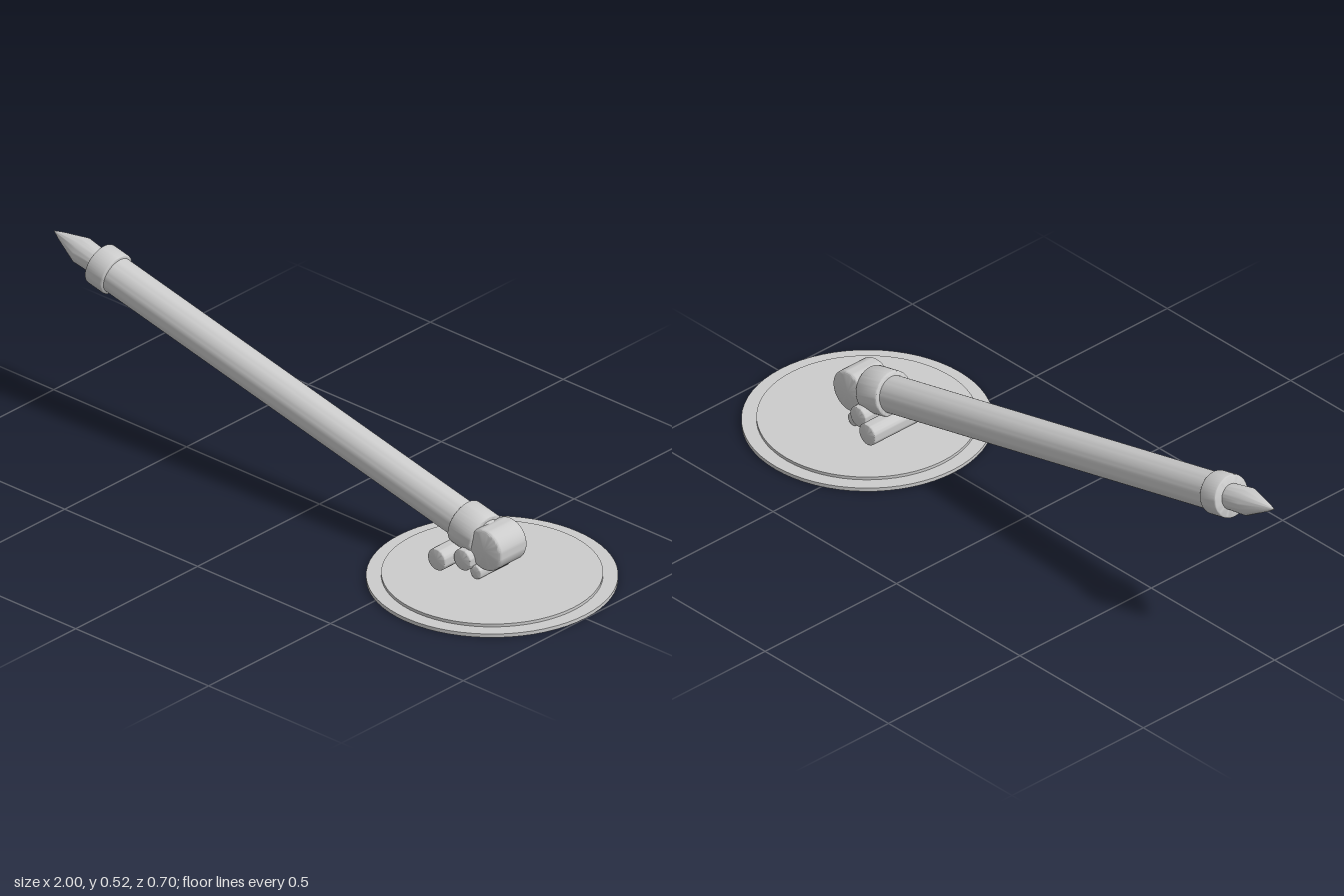
import * as THREE from 'three';
import { toCreasedNormals } from 'three/addons/utils/BufferGeometryUtils.js';

const material = new THREE.MeshStandardMaterial({ color: 0xcccccc });

// Solid of revolution about y from [radius, height] pairs, bottom to top
function turned(name, profile, segments = 48) {
  const points = profile.map(([r, y]) => new THREE.Vector2(r, y));
  const geometry = toCreasedNormals(new THREE.LatheGeometry(points, segments), 0.6);
  const mesh = new THREE.Mesh(geometry, material);
  mesh.name = name;
  return mesh;
}

// Closed cylinder profile from y0 to y1 with rounded rims
function roundedProfile(r, y0, y1, bevel) {
  const profile = [[0, y0]];
  const steps = 4;
  for (let i = 0; i <= steps; i++) {
    const a = (i / steps) * Math.PI / 2;
    profile.push([r - bevel + bevel * Math.sin(a), y0 + bevel - bevel * Math.cos(a)]);
  }
  for (let i = 0; i <= steps; i++) {
    const a = (i / steps) * Math.PI / 2;
    profile.push([r - bevel + bevel * Math.cos(a), y1 - bevel + bevel * Math.sin(a)]);
  }
  profile.push([0, y1]);
  return profile;
}

// Roller lying along z
function roller(name, x, y, r, halfWidth, bevel) {
  const mesh = turned(name, roundedProfile(r, -halfWidth, halfWidth, bevel));
  mesh.rotation.x = Math.PI / 2;
  mesh.position.set(x, y, 0);
  return mesh;
}

export function createModel() {
  const model = new THREE.Group();
  model.name = 'pivotingArm';

  // Stepped round base
  const base = turned('base', [
    [0, 0], [0.35, 0], [0.35, 0.011], [0.308, 0.011], [0.308, 0.02], [0, 0.02],
  ], 64);
  base.position.x = 0.65;
  model.add(base);

  // Inclined arm: local +y runs from the tip down to the pivot
  const arm = new THREE.Group();
  arm.name = 'arm';
  arm.position.set(-1, 0.5, 0);
  arm.rotation.z = -THREE.MathUtils.degToRad(103);
  arm.add(
    turned('tip', [[0, 0], [0.012, 0.028], [0.04, 0.108], [0.037, 0.19], [0, 0.19]]),
    turned('upperCollar', roundedProfile(0.063, 0.178, 0.244, 0.006)),
    turned('pole', [[0, 0.22], [0.054, 0.22], [0.054, 1.69], [0, 1.69]]),
    turned('lowerCollar', roundedProfile(0.067, 1.583, 1.67, 0.006)),
  );
  model.add(arm);

  // Pivot drum and the rollers beneath the arm
  model.add(
    roller('pivotDrum', 0.67, 0.116, 0.0625, 0.057, 0.01),
    roller('longRoller', 0.538, 0.06, 0.033, 0.108, 0.005),
    roller('middleRoller', 0.607, 0.072, 0.032, 0.078, 0.005),
    roller('smallRoller', 0.644, 0.04, 0.02, 0.063, 0.004),
  );
  return model;
}
